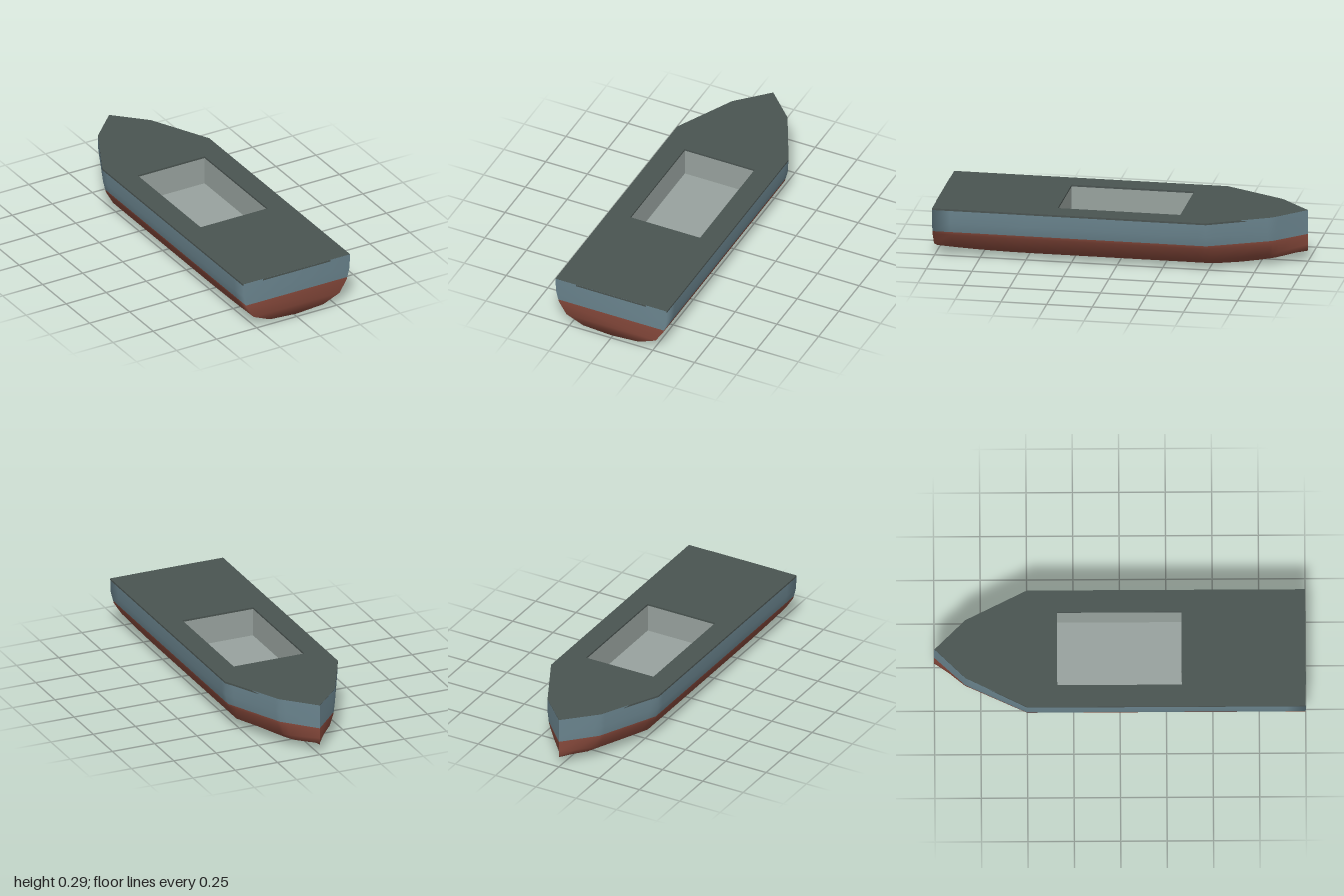
import * as THREE from 'three';

const paint = (name, color) => {
  const m = new THREE.MeshStandardMaterial({ color });
  m.name = name;
  return m;
};

const TOP = 0.29, WATERLINE = 0.155;

// Half section amidships, from deck edge down to keel
const PROFILE = [
  [0.333, TOP], [0.33, 0.21], [0.316, WATERLINE], [0.311, 0.137],
  [0.267, 0.06], [0.167, 0.013], [0, 0],
];

// Fraction of full beam at a station: straight sides, then two bow facets
function beam(z) {
  if (z >= -0.5) return 1;
  if (z >= -0.833) return 1 - 0.5 * (-0.5 - z) / 0.333;
  return 0.5 * (1 + z) / 0.167;
}

// Height of the keel at a station
function keel(z) {
  if (z < -0.5) return 0.06 * ((-0.5 - z) / 0.5) ** 2;
  if (z > 0.5) return 0.018 * ((z - 0.5) / 0.5) ** 2;
  return 0;
}

// Hull lofted from stern to bow, closed by a softly shaded transom
function hullGeometry() {
  const stations = [1, 0.9, 0.8, 0.7, 0.6, 0.5, 0.25, 0, -0.25, -0.45, -0.5, -0.55,
    -0.65, -0.75, -0.81, -0.833, -0.86, -0.92, -1];
  const ring = [
    ...PROFILE.map(([x, y]) => [-x, y]),
    ...PROFILE.slice(0, -1).reverse(),
  ];
  const n = ring.length;
  const positions = [], upper = [], lower = [];

  for (const z of stations) {
    const squash = (WATERLINE - keel(z)) / WATERLINE;
    for (const [x, y] of ring) {
      const h = y < WATERLINE ? WATERLINE - (WATERLINE - y) * squash : y;
      positions.push(x * beam(z), h, z);
    }
  }
  for (let i = 0; i < stations.length - 1; i++) {
    for (let j = 0; j < n - 1; j++) {
      const a = i * n + j, b = a + 1, d = a + n, c = d + 1;
      (j < 2 || j >= n - 3 ? upper : lower).push(a, d, c, a, c, b);
    }
  }
  // Transom rows join each point to its mirror
  for (let j = 0; j < (n - 1) / 2; j++) {
    const a = j, e = j + 1, f = n - 2 - j, g = n - 1 - j;
    const list = j < 2 ? upper : lower;
    if (e !== f) list.push(a, e, f);
    list.push(a, f, g);
  }

  const geo = new THREE.BufferGeometry();
  geo.setAttribute('position', new THREE.Float32BufferAttribute(positions, 3));
  geo.setIndex([...upper, ...lower]);
  geo.addGroup(0, upper.length, 0);
  geo.addGroup(upper.length, lower.length, 1);
  geo.computeVertexNormals();
  return geo;
}

export function createModel() {
  const topside = paint('topside blue', 0x6b858f);
  const bottom = paint('bottom red', 0x8a4b3d);
  const deckGrey = paint('deck grey', 0x4a5451);
  const wellGrey = paint('well grey', 0x98a29e);

  const model = new THREE.Group();
  model.name = 'boat';
  const add = (name, geo, material, parent = model) => {
    const mesh = new THREE.Mesh(geo, material);
    mesh.name = name;
    parent.add(mesh);
    return mesh;
  };

  add('hull', hullGeometry(), [topside, bottom]);

  // Deck slab with the well opening
  const W = 0.209, BACK = -0.338, FRONT = 0.333;
  const v = (x, z) => new THREE.Vector2(x, -z);
  const outline = new THREE.Shape([
    v(-0.334, 0.999), v(0.334, 0.999), v(0.334, -0.5), v(0.166, -0.832),
    v(0, -0.998), v(-0.166, -0.832), v(-0.334, -0.5),
  ]);
  outline.holes.push(new THREE.Path([v(-W, FRONT), v(-W, BACK), v(W, BACK), v(W, FRONT)]));
  const deck = new THREE.ExtrudeGeometry(outline, { depth: 0.01, bevelEnabled: false });
  deck.rotateX(-Math.PI / 2).translate(0, TOP - 0.01, 0);
  add('deck', deck, deckGrey);

  // Thin dark strip at the top of the transom
  add('transomStrip', new THREE.BoxGeometry(2 * W, 0.009, 0.002).translate(0, TOP - 0.005, 1), deckGrey);

  // Open well: floor and four inward-facing walls
  const well = new THREE.Group();
  well.name = 'well';
  model.add(well);
  const FLOOR = 0.125, rim = TOP - 0.01;
  const h = rim - FLOOR, y = (rim + FLOOR) / 2;
  const length = FRONT - BACK, mid = (FRONT + BACK) / 2;
  add('wellFloor', new THREE.PlaneGeometry(2 * W, length).rotateX(-Math.PI / 2), wellGrey, well)
    .position.set(0, FLOOR, mid);
  const walls = [
    ['wellBackWall', 2 * W, 0, 0, BACK],
    ['wellFrontWall', 2 * W, Math.PI, 0, FRONT],
    ['wellRightWall', length, Math.PI / 2, -W, mid],
    ['wellLeftWall', length, -Math.PI / 2, W, mid],
  ];
  for (const [name, width, turn, x, z] of walls) {
    add(name, new THREE.PlaneGeometry(width, h).rotateY(turn), wellGrey, well).position.set(x, y, z);
  }
  return model;
}
